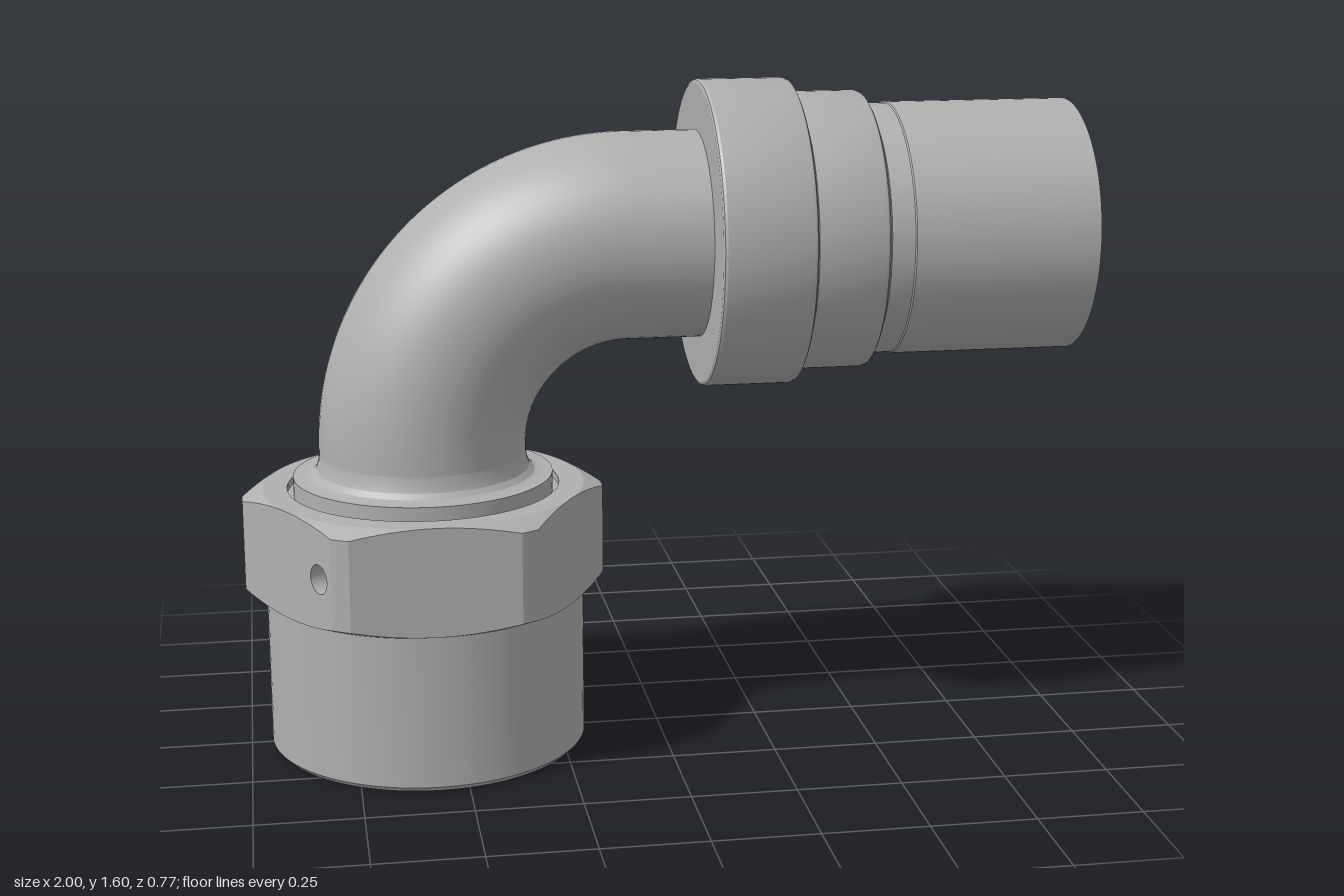
import * as THREE from 'three';
import { toCreasedNormals } from 'three/addons/utils/BufferGeometryUtils.js';

const steel = new THREE.MeshStandardMaterial({ color: 0xb0b0b0, side: THREE.DoubleSide });
steel.name = 'steel grey';

const AXIS_X = -0.568, AXIS_Y = 1.229;      // vertical and horizontal pipe axes
const RAD = Math.PI / 180;
const FLAT = 0.385;                          // nut centre to flat
const TRIM = FLAT / Math.cos(27 * RAD);      // turned-down nut corners
const NUT_LOW = 0.38, NUT_HIGH = 0.64;
const drop = r => 0.45 * (r - FLAT);         // chamfer depth at a radius

function add(parent, name, geometry) {
  const mesh = new THREE.Mesh(geometry, steel);
  mesh.name = name;
  parent.add(mesh);
  return mesh;
}

function turned(points, segments = 96) {
  const profile = points.map(([r, y]) => new THREE.Vector2(r, y));
  return toCreasedNormals(new THREE.LatheGeometry(profile, segments), 0.4);
}

// Distance from the axis to the hexagon outline, vertices at 30 + 60k degrees
function hexRadius(phi) {
  const step = 60 * RAD;
  const d = phi - Math.round(phi / step) * step;
  return Math.min(FLAT / Math.cos(d), TRIM);
}

// Turned ring whose outermost circle is pushed out to the hexagon outline
function chamferRing(points, baseY, sign) {
  const profile = points.map(([r, y]) => new THREE.Vector2(r, y));
  const geo = new THREE.LatheGeometry(profile, 120);
  const pos = geo.attributes.position;
  for (let i = 0; i < pos.count; i++) {
    const x = pos.getX(i), z = pos.getZ(i);
    if (Math.hypot(x, z) < 0.4) continue;
    const phi = Math.atan2(x, z), r = hexRadius(phi);
    pos.setXYZ(i, r * Math.sin(phi), baseY + sign * drop(r), r * Math.cos(phi));
  }
  return toCreasedNormals(geo, 0.3);
}

// One flat of the nut, with curved chamfer edges
function flatShape() {
  const low = [], high = [];
  for (let a = -27; a <= 27; a += 3) {
    const s = FLAT * Math.tan(a * RAD), d = drop(FLAT / Math.cos(a * RAD));
    low.push(new THREE.Vector2(s, NUT_LOW + d));
    high.unshift(new THREE.Vector2(s, NUT_HIGH - d));
  }
  return new THREE.Shape([...low, ...high]);
}

function buildNut() {
  const nut = new THREE.Group();
  nut.name = 'unionNut';
  nut.position.x = AXIS_X;

  // Round skirt with its bore and inner shoulder
  add(nut, 'nutSkirt', turned([
    [0.205, 0.29], [0.295, 0.25], [0.315, 0.25], [0.315, 0.025], [0.335, 0],
    [0.37, 0], [0.382, 0.013], [0.382, 0.385],
  ]));
  add(nut, 'nutLowerChamfer', chamferRing([[0.37, NUT_LOW], [FLAT, NUT_LOW], [0.43, NUT_LOW]], NUT_LOW, 1));
  add(nut, 'nutUpperChamfer', chamferRing([[0.43, NUT_HIGH], [FLAT, NUT_HIGH], [0.325, NUT_HIGH]], NUT_HIGH, -1));

  // Six flats and the narrow turned corners between them
  const cornerHeight = NUT_HIGH - NUT_LOW - 2 * drop(TRIM);
  for (let i = 0; i < 6; i++) {
    const side = new THREE.Group();
    side.name = 'nutSide';
    side.rotation.y = i * 60 * RAD;
    nut.add(side);
    const shape = flatShape();
    if (i === 5) {
      // Small blind hole in one flat
      const hole = new THREE.Path();
      hole.absarc(0.14, 0.51, 0.035, 0, Math.PI * 2, true);
      shape.holes.push(hole);
      const bore = add(side, 'holeBore', new THREE.CylinderGeometry(0.035, 0.035, 0.06, 24, 1, true));
      bore.rotation.x = Math.PI / 2;
      bore.position.set(0.14, 0.51, FLAT - 0.03);
      add(side, 'holeFloor', new THREE.CircleGeometry(0.035, 24)).position.set(0.14, 0.51, FLAT - 0.06);
    }
    add(side, 'nutFlat', new THREE.ShapeGeometry(shape, 24)).position.z = FLAT;
    const corner = new THREE.CylinderGeometry(TRIM, TRIM, cornerHeight, 2, 1, true, 27 * RAD, 6 * RAD);
    add(side, 'nutCorner', corner).position.y = (NUT_LOW + NUT_HIGH) / 2;
  }

  // Shoulder ring with a fillet up to the pipe
  add(nut, 'shoulderRing', turned([
    [0.325, 0.64], [0.325, 0.622], [0.31, 0.622], [0.31, 0.668], [0.283, 0.668],
    [0.267, 0.673], [0.255, 0.685], [0.249, 0.702], [0.246, 0.73],
  ]));
  return nut;
}

// Upright run, quarter bend and horizontal run
function elbowPath(startY, endX) {
  const bend = 0.49, k = bend * 0.5523;
  const y0 = AXIS_Y - bend, x1 = AXIS_X + bend;
  const v = (x, y) => new THREE.Vector3(x, y, 0);
  const path = new THREE.CurvePath();
  path.add(new THREE.LineCurve3(v(AXIS_X, startY), v(AXIS_X, y0)));
  path.add(new THREE.CubicBezierCurve3(v(AXIS_X, y0), v(AXIS_X, y0 + k), v(x1 - k, AXIS_Y), v(x1, AXIS_Y)));
  path.add(new THREE.LineCurve3(v(x1, AXIS_Y), v(endX, AXIS_Y)));
  return path;
}

export function createModel() {
  const model = new THREE.Group();
  model.name = 'elbowFitting';
  model.add(buildNut());

  add(model, 'elbowPipe', new THREE.TubeGeometry(elbowPath(0.66, 0.12), 96, 0.247, 64));
  add(model, 'elbowBore', new THREE.TubeGeometry(elbowPath(0.28, 1), 120, 0.205, 64));

  // Stepped collar and sleeve, ending in a groove around the inner pipe
  const sleeve = add(model, 'collarAndSleeve', turned([
    [0.24, 0.095], [0.357, 0.095], [0.363, 0.098], [0.366, 0.104],
    [0.366, 0.303], [0.363, 0.311], [0.355, 0.315], [0.338, 0.316], [0.333, 0.322],
    [0.333, 0.478], [0.33, 0.487], [0.322, 0.492], [0.307, 0.494], [0.301, 0.5],
    [0.301, 0.555], [0.304, 0.558], [0.304, 1], [0.288, 1],
    [0.268, 0.9], [0.24, 0.9], [0.24, 0.993], [0.233, 1], [0.205, 1],
  ]));
  sleeve.rotation.z = -Math.PI / 2;
  sleeve.position.y = AXIS_Y;
  return model;
}
